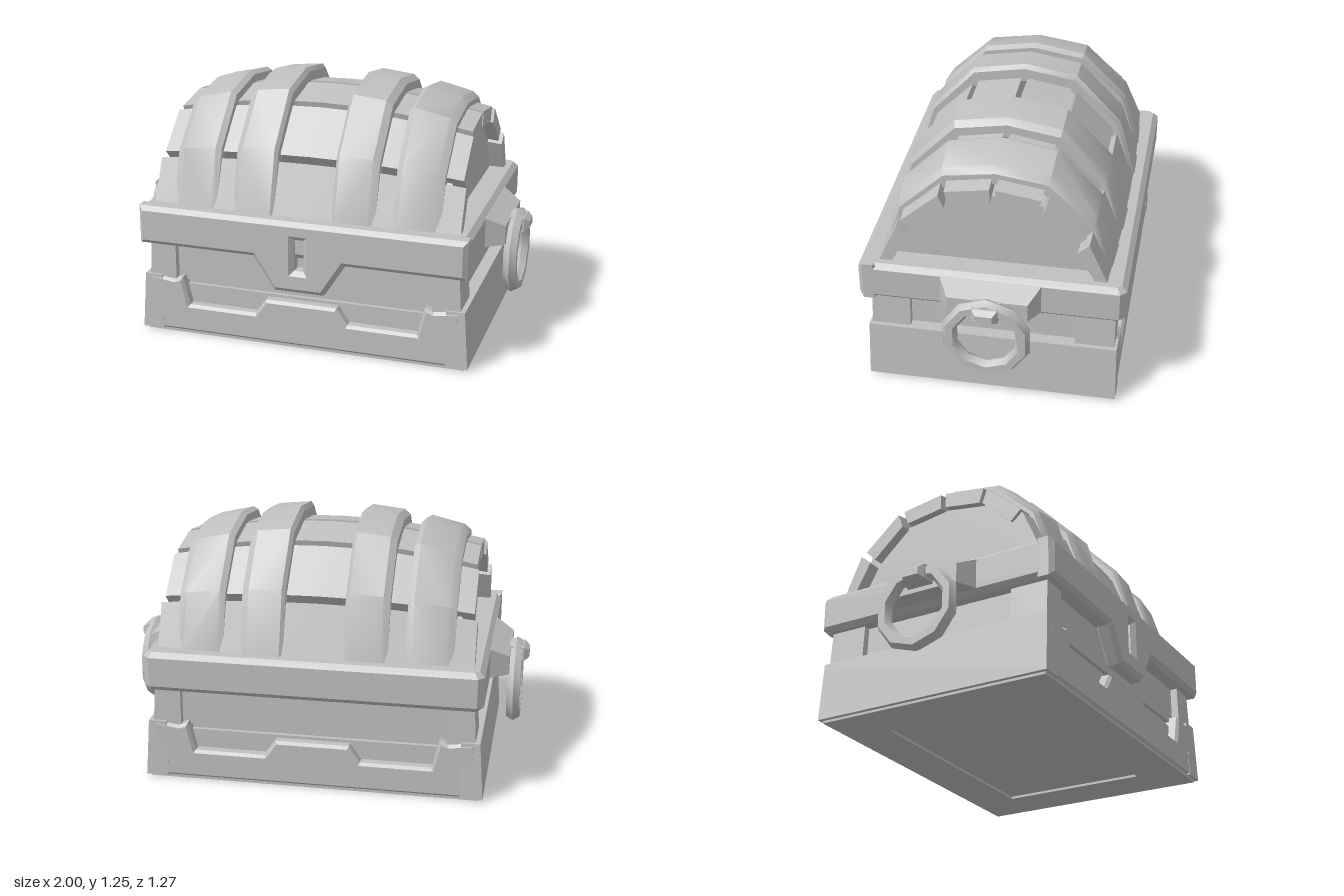
import * as THREE from 'three';
import { toCreasedNormals } from 'three/addons/utils/BufferGeometryUtils.js';

const grey = new THREE.MeshStandardMaterial({ color: 0xc0c0c0 });
grey.name = 'plain grey';

// Closed solid through matching convex rings of [x, y, z] points
function loft(rings, crease = 0.5) {
  const tris = [];
  const n = rings[0].length;
  for (let i = 0; i < rings.length - 1; i++) {
    for (let j = 0; j < n; j++) {
      const k = (j + 1) % n;
      const [a, b, c, d] = [rings[i][j], rings[i][k], rings[i + 1][k], rings[i + 1][j]];
      tris.push([a, b, c], [a, c, d]);
    }
  }
  const first = rings[0], last = rings[rings.length - 1];
  for (let j = 1; j < n - 1; j++) {
    tris.push([first[0], first[j + 1], first[j]], [last[0], last[j], last[j + 1]]);
  }
  // Turn the faces outward if the signed volume is negative
  let volume = 0;
  const [A, B, C] = [new THREE.Vector3(), new THREE.Vector3(), new THREE.Vector3()];
  for (const t of tris) volume += A.set(...t[0]).dot(B.set(...t[1]).cross(C.set(...t[2])));
  if (volume < 0) tris.forEach((t) => t.reverse());
  const geo = new THREE.BufferGeometry();
  geo.setAttribute('position', new THREE.Float32BufferAttribute(tris.flat(2), 3));
  geo.computeVertexNormals();
  return toCreasedNormals(geo, crease);
}

// Horizontal rectangle with cut corners
function rect(y, x0, x1, z0, z1, c = 0) {
  if (!c) return [[x0, y, z0], [x1, y, z0], [x1, y, z1], [x0, y, z1]];
  return [[x0 + c, y, z0], [x1 - c, y, z0], [x1, y, z0 + c], [x1, y, z1 - c],
    [x1 - c, y, z1], [x0 + c, y, z1], [x0, y, z1 - c], [x0, y, z0 + c]];
}

// Vertical slab between z0 and z1 with bevelled edges
function slab(outline, z0, z1, bevel, hole) {
  const shape = new THREE.Shape(outline.map((p) => new THREE.Vector2(...p)));
  if (hole) shape.holes.push(new THREE.Path(hole.map((p) => new THREE.Vector2(...p))));
  const geo = new THREE.ExtrudeGeometry(shape, {
    depth: z1 - z0 - 2 * bevel, bevelEnabled: true, bevelThickness: bevel,
    bevelSize: bevel, bevelOffset: -bevel, bevelSegments: 1,
  });
  return geo.translate(0, 0, z0 + bevel);
}

// Half profile [z, y] mirrored to run from front to back
const both = (p) => [...p, ...p.slice(0, -1).reverse().map(([z, y]) => [-z, y])];
const LID = 0.65;
// The lid swells in the middle and shrinks toward its ends
function swell([z, y], x, amount) {
  const k = 1 - amount * x * x;
  return [x, LID + (y - LID) * k, z * (1 - (1 - k) * 0.25)];
}
const strapTop = both([[0.575, LID], [0.485, 0.975], [0.262, 1.215], [0, 1.26]]);
const strapBase = both([[0.53, LID], [0.44, 0.91], [0.24, 1.13], [0, 1.17]]);
const plankTop = both([[0.57, LID], [0.465, 0.925], [0.25, 1.145], [0, 1.19]]);
const plankBase = both([[0.51, LID], [0.41, 0.865], [0.225, 1.06], [0, 1.1]]);
const coreLine = both([[0.53, LID], [0.415, 0.85], [0.23, 1.0], [0, 1.035]]);

export function createModel() {
  const model = new THREE.Group();
  model.name = 'treasureChest';
  const add = (name, geo, parent = model) => {
    const mesh = new THREE.Mesh(geo, grey);
    mesh.name = name;
    parent.add(mesh);
    return mesh;
  };

  // Box body: core, front and back boards, corner posts
  add('bodyCore', loft([rect(0.012, -0.76, 0.76, -0.53, 0.53), rect(0.55, -0.74, 0.74, -0.53, 0.53)]));
  for (const s of [1, -1]) {
    for (const [y0, y1] of [[0.03, 0.25], [0.275, 0.5]]) {
      const board = new THREE.BoxGeometry(1.34, y1 - y0, 0.03);
      add('bodyBoard', board.translate(0, (y0 + y1) / 2, s * 0.535));
    }
    for (const t of [1, -1]) {
      add('cornerPost', loft([
        rect(0.1, ...[s * 0.65, s * 0.8].sort((a, b) => a - b), ...[t * 0.4, t * 0.59].sort((a, b) => a - b)),
        rect(0.5, ...[s * 0.65, s * 0.775].sort((a, b) => a - b), ...[t * 0.4, t * 0.585].sort((a, b) => a - b)),
      ]));
    }
  }

  // Base skirt: stepped front and back, plain sides
  const half = [[0.79, 0.012], [0.79, 0.3], [0.66, 0.282], [0.615, 0.298], [0.58, 0.155], [0.235, 0.155], [0.18, 0.235]];
  const stepped = [...half, ...half.map(([x, y]) => [-x, y]).reverse()];
  for (const s of [1, -1]) {
    const panel = slab(stepped, 0.52, 0.602, 0.014);
    if (s < 0) panel.rotateY(Math.PI);
    add('skirtPanel', panel);
    const xs = (a, b) => (s > 0 ? [a, b] : [-b, -a]);
    add('skirtSide', loft([rect(0.012, ...xs(0.72, 0.83), -0.605, 0.605), rect(0.3, ...xs(0.72, 0.81), -0.6, 0.6)]));
  }

  // Underside frame around a shallow recess
  const foot = new THREE.Shape(rect(0, -0.81, 0.81, -0.59, 0.59).map(([x, , z]) => new THREE.Vector2(x, z)));
  foot.holes.push(new THREE.Path(rect(0, -0.58, 0.58, -0.37, 0.37).map(([x, , z]) => new THREE.Vector2(x, z))));
  const footGeo = new THREE.ExtrudeGeometry(foot, { depth: 0.014, bevelEnabled: false });
  add('undersideFrame', footGeo.rotateX(-Math.PI / 2));

  // Rim band, with the lock tongue and keyhole in its front
  add('rimBand', loft([
    rect(0.47, -0.795, 0.795, -0.612, 0.58, 0.02),
    rect(0.495, -0.82, 0.82, -0.635, 0.6, 0.03),
    rect(0.64, -0.82, 0.82, -0.635, 0.6, 0.03),
    rect(0.665, -0.795, 0.795, -0.61, 0.58, 0.02),
  ], 0.3));
  add('rimFrontAndLock', slab(
    [[-0.82, 0.47], [-0.23, 0.47], [-0.125, 0.305], [0.125, 0.305], [0.23, 0.47], [0.82, 0.47], [0.82, 0.665], [-0.82, 0.665]],
    0.54, 0.636, 0.022,
    [[-0.024, 0.415], [-0.024, 0.575], [0.024, 0.575], [0.024, 0.415]],
  ));

  // Lid core, forming the flat ends
  const lid = new THREE.Group();
  lid.name = 'lid';
  model.add(lid);
  add('lidCore', loft([-0.69, 0.69].map((x) => coreLine.map(([z, y]) => [x, y, z]))), lid);

  // Curved lid planks with narrow gaps
  const mix = (a, b, t) => [a[0] + (b[0] - a[0]) * t, a[1] + (b[1] - a[1]) * t];
  for (let i = 0; i < 6; i++) {
    const length = [0.765, 0.75, 0.74][Math.min(i, 5 - i)];
    const t0 = i === 0 ? 0 : 0.06, t1 = i === 5 ? 1 : 0.94;
    const corners = [
      mix(plankTop[i], plankTop[i + 1], t0), mix(plankTop[i], plankTop[i + 1], t1),
      mix(plankBase[i], plankBase[i + 1], t1), mix(plankBase[i], plankBase[i + 1], t0),
    ];
    const rings = [];
    for (let j = 0; j <= 8; j++) {
      const x = length * (j / 4 - 1);
      rings.push(corners.map((p) => swell(p, x, 0.3)));
    }
    add('lidPlank', loft(rings), lid);
  }

  // Four metal straps over the lid
  for (const s of [1, -1]) {
    for (const [b0, t0, t1, b1] of [[0.145, 0.162, 0.325, 0.357], [0.44, 0.468, 0.635, 0.668]]) {
      const rings = strapTop.map((p, i) => [
        swell(strapBase[i], b0, 0.36), swell(mix(p, strapBase[i], 0.25), b0, 0.37),
        swell(p, t0, 0.37), swell(p, t1, 0.37),
        swell(mix(p, strapBase[i], 0.25), b1, 0.37), swell(strapBase[i], b1, 0.36),
      ].map(([x, y, z]) => [s * x, y, z]));
      add('lidStrap', loft(rings), lid);
    }
  }

  // Side handles: tapered mount, lug and hanging ring
  for (const s of [1, -1]) {
    const handle = new THREE.Group();
    handle.name = s > 0 ? 'leftHandle' : 'rightHandle';
    model.add(handle);
    const face = (x, y0, y1, z) => [[s * x, y0, -z], [s * x, y1, -z], [s * x, y1, z], [s * x, y0, z]];
    add('handleMount', loft([face(0.78, 0.495, 0.645, 0.245), face(0.82, 0.495, 0.642, 0.24), face(0.91, 0.5, 0.595, 0.19)], 0.2), handle);
    add('handleLug', loft([face(0.88, 0.52, 0.6, 0.07), face(0.975, 0.525, 0.595, 0.06), face(1, 0.54, 0.575, 0.04)]), handle);
    const ring = new THREE.TorusGeometry(0.181, 0.037, 6, 10);
    ring.rotateZ(Math.PI / 10).rotateY(Math.PI / 2).translate(s * 0.935, 0.407, 0);
    add('handleRing', toCreasedNormals(ring, 0.8), handle);
  }
  return model;
}
